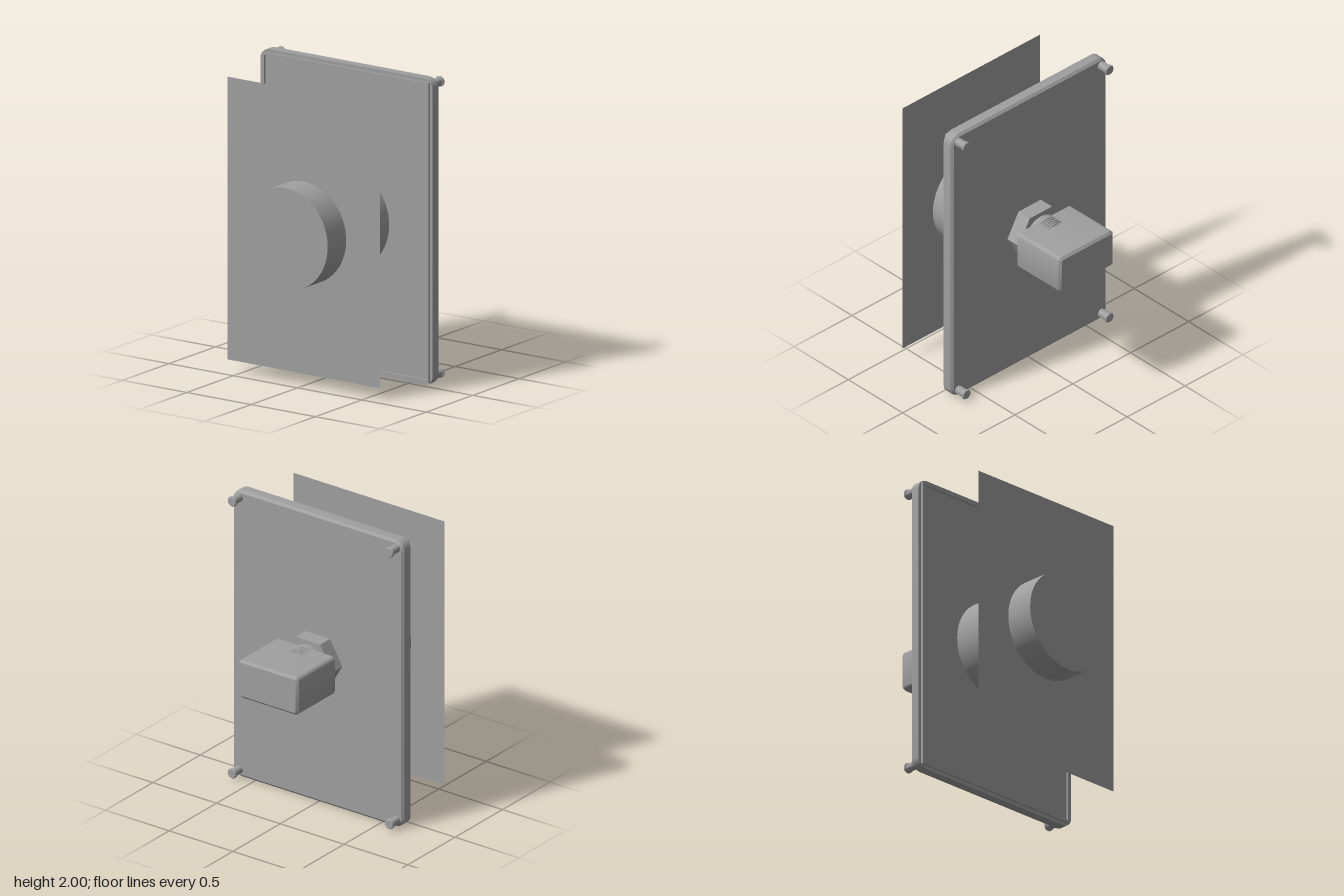
import * as THREE from 'three';
import { toCreasedNormals } from 'three/addons/utils/BufferGeometryUtils.js';

const grey = new THREE.MeshStandardMaterial({ color: 0xa0a0a0 });
grey.name = 'grey';
const greySheet = new THREE.MeshStandardMaterial({ color: 0xa0a0a0, side: THREE.DoubleSide });
greySheet.name = 'grey sheet';

// Counter-clockwise outline of a rounded rectangle with half sizes w, h
function roundedLoop(w, h, r, steps = 6) {
  const points = [];
  const corners = [[1, 1], [-1, 1], [-1, -1], [1, -1]];
  corners.forEach(([sx, sy], k) => {
    for (let i = 0; i <= steps; i++) {
      const a = (k + i / steps) * Math.PI / 2;
      points.push([sx * (w - r) + r * Math.cos(a), sy * (h - r) + r * Math.sin(a)]);
    }
  });
  return points;
}

// Closed rounded block through sections [inset, z], listed front to back
function roundedBlock(w, h, r, sections) {
  const loops = sections.map(([inset, z]) =>
    roundedLoop(w - inset, h - inset, r - inset).map(([x, y]) => [x, y, z]));
  const n = loops[0].length;
  const last = loops.length - 1;
  const pos = [];
  for (let i = 0; i < n; i++) {
    const j = (i + 1) % n;
    for (let s = 0; s < last; s++) {
      const f = loops[s], b = loops[s + 1];
      pos.push(...f[i], ...b[i], ...b[j], ...f[i], ...b[j], ...f[j]);
    }
    pos.push(0, 0, sections[0][1], ...loops[0][i], ...loops[0][j]);
    pos.push(0, 0, sections[last][1], ...loops[last][j], ...loops[last][i]);
  }
  const geometry = new THREE.BufferGeometry();
  geometry.setAttribute('position', new THREE.Float32BufferAttribute(pos, 3));
  return toCreasedNormals(geometry, 0.6);
}

// Cylinder along z between two depths
function rod(radius, front, back, sides = 48) {
  const geometry = new THREE.CylinderGeometry(radius, radius, front - back, sides);
  return geometry.rotateX(Math.PI / 2).translate(0, 0, (front + back) / 2);
}

export function createModel() {
  const model = new THREE.Group();
  model.name = 'wallPlateControl';
  const body = new THREE.Group();
  body.name = 'body';
  body.position.y = 1;
  model.add(body);

  const add = (name, geometry, material = grey) => {
    const mesh = new THREE.Mesh(geometry, material);
    mesh.name = name;
    body.add(mesh);
    return mesh;
  };

  // Backing plate, chamfered at the rear
  add('plate', roundedBlock(0.67, 1, 0.07, [[0, -0.026], [0, -0.088], [0.016, -0.103]]));

  // Square raised rim on the front of the plate
  const rim = new THREE.Shape([
    new THREE.Vector2(-0.647, -0.977), new THREE.Vector2(0.647, -0.977),
    new THREE.Vector2(0.647, 0.977), new THREE.Vector2(-0.647, 0.977)]);
  rim.holes.push(new THREE.Path([
    new THREE.Vector2(-0.63, -0.96), new THREE.Vector2(-0.63, 0.96),
    new THREE.Vector2(0.63, 0.96), new THREE.Vector2(0.63, -0.96)]));
  const rimGeometry = new THREE.ExtrudeGeometry(rim, { depth: 0.015, bevelEnabled: false });
  add('plateRim', rimGeometry.translate(0, 0, -0.027));

  // Floating front panel and the drum passing through it
  add('frontPanel', new THREE.PlaneGeometry(1.184, 1.844), greySheet).position.z = 0.435;
  add('drum', rod(0.331, 0.633, -0.026, 64));

  // Hexagonal nut, with corners on the left and right
  const nut = new THREE.CylinderGeometry(0.192, 0.192, 0.104, 6).toNonIndexed();
  nut.rotateY(Math.PI / 2).rotateX(Math.PI / 2).translate(0, 0, -0.155);
  add('hexNut', toCreasedNormals(nut, 0.3));

  // Threaded shaft
  add('shaft', rod(0.137, -0.1, -0.342));
  for (let i = 0; i < 5; i++) {
    const thread = add('thread', new THREE.TorusGeometry(0.142, 0.005, 8, 48));
    thread.position.z = -0.258 - i * 0.0188;
  }

  // Rear connector block
  add('connectorBlock', roundedBlock(0.235, 0.132, 0.03, [[0, -0.24], [0, -0.617], [0.016, -0.633]]));

  // Headed corner pins
  const profile = [[0, 0], [0.028, 0], [0.028, 0.063], [0.034, 0.066], [0.034, 0.077], [0.029, 0.083], [0, 0.083]]
    .map(([r, y]) => new THREE.Vector2(r, y));
  const pin = toCreasedNormals(new THREE.LatheGeometry(profile, 24).toNonIndexed(), 0.6);
  pin.rotateX(-Math.PI / 2);
  for (const x of [-0.617, 0.617]) {
    for (const y of [-0.95, 0.95]) {
      add('cornerPin', pin).position.set(x, y, -0.102);
    }
  }
  return model;
}
